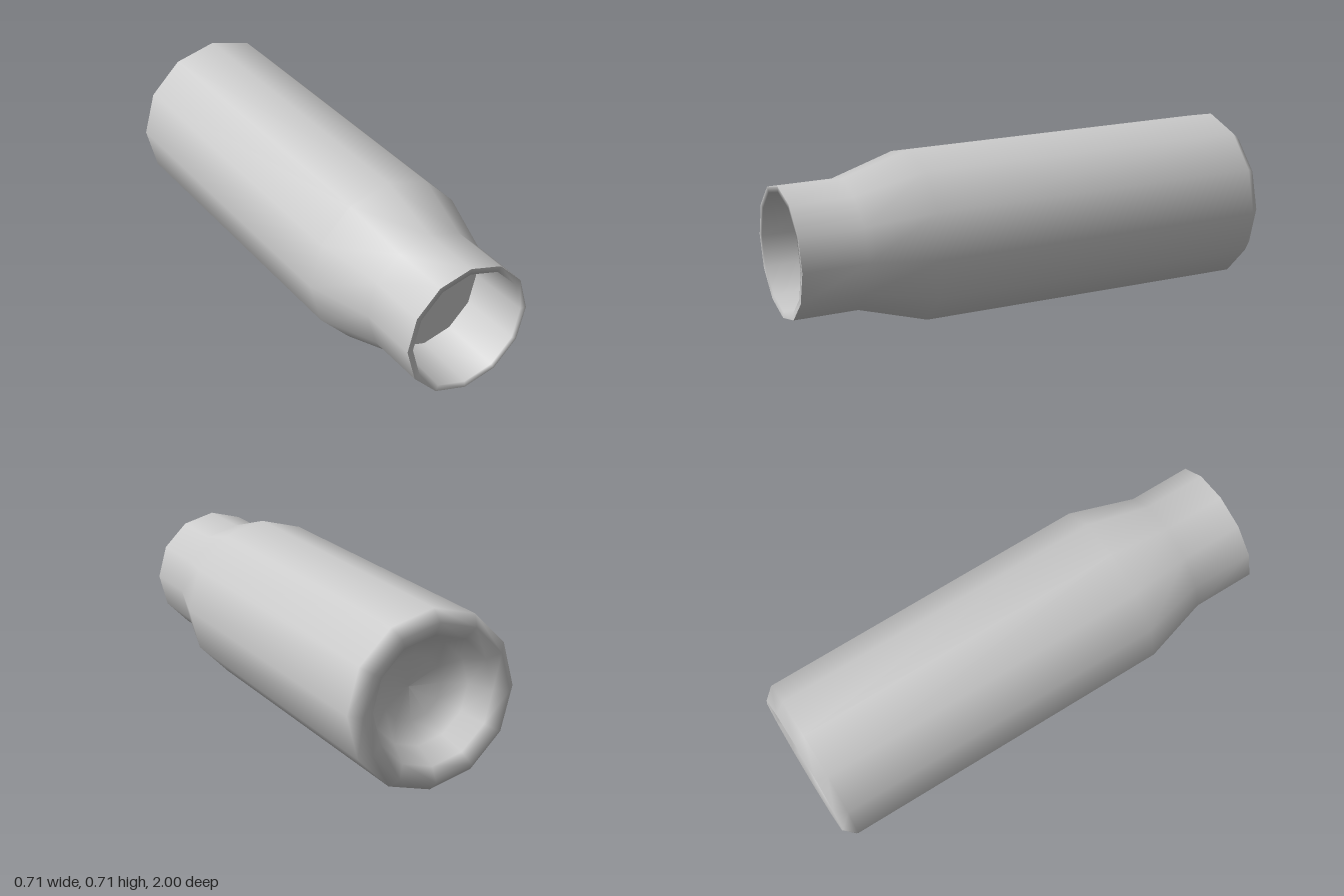
import * as THREE from 'three';

const RADIUS = 0.353;
const SIDES = 12;

export function createModel() {
  const group = new THREE.Group();
  const material = new THREE.MeshStandardMaterial({ color: 0xcccccc });

  // Turns a [radius, z] profile about the z axis at the height of the body's centre
  const turn = (name, profile) => {
    const points = profile.map(([r, z]) => new THREE.Vector2(r, z));
    const geometry = new THREE.LatheGeometry(points, SIDES);
    geometry.rotateX(Math.PI / 2).translate(0, RADIUS, 0);
    const mesh = new THREE.Mesh(geometry, material);
    mesh.name = name;
    group.add(mesh);
  };

  // Hollow base, rounded rim, long body, sloping shoulder and neck
  turn('body', [
    [0, -0.79], [0.13, -0.81], [0.21, -0.87], [0.255, -0.97], [0.31, -1],
    [RADIUS, -0.955], [RADIUS, 0.46], [0.27, 0.735], [0.27, 1],
  ]);

  // Lip and inner wall of the open neck
  turn('neckLining', [[0.27, 1], [0.245, 0.998], [0.237, 0.73]]);

  // Flat floor inside the neck
  turn('neckFloor', [[0.237, 0.73], [0, 0.73]]);

  return group;
}
